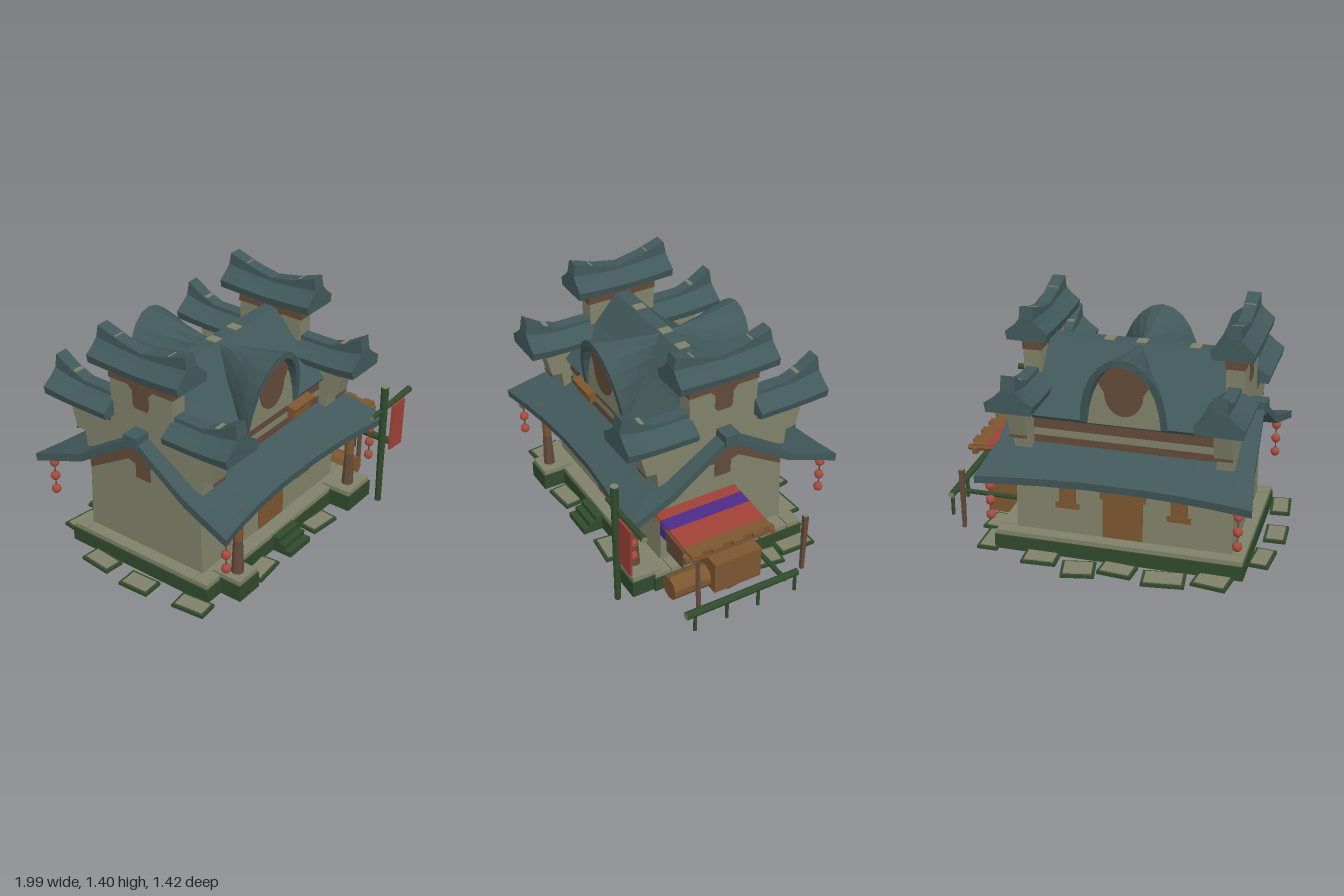
import * as THREE from 'three';

const mat = (name, color, side = THREE.FrontSide) => {
  const m = new THREE.MeshStandardMaterial({ color, side });
  m.name = name;
  return m;
};

export function createModel() {
  const M = {
    roof: mat('slate teal', 0x41585a), plaster: mat('plaster', 0x80826a, THREE.DoubleSide), timber: mat('dark timber', 0x634b39),
    wood: mat('warm wood', 0x7c5630), moss: mat('moss green', 0x314a2c), red: mat('red cloth', 0x9f4136),
    lantern: mat('lantern red', 0xa64b3d), purple: mat('purple cloth', 0x4e2b88),
  };
  const bamboo = [M.moss, M.plaster, M.plaster]; // pale cut ends
  const mossSides = [M.moss, M.moss, M.moss, M.plaster, M.moss, M.moss]; // bare stone below
  const root = new THREE.Group();
  root.name = 'teaHouse';
  const CX = -0.14, CZ = -0.02; // centre of the building

  const group = (name, parent = root) => { const g = new THREE.Group(); g.name = name; parent.add(g); return g; };
  // faceted mesh
  const add = (name, geo, m, parent = root) => {
    const g = geo.index ? geo.toNonIndexed() : geo;
    g.computeVertexNormals();
    const mesh = new THREE.Mesh(g, m);
    mesh.name = name;
    parent.add(mesh);
    return mesh;
  };
  // box from its limits on each axis
  const box = (name, x0, x1, y0, y1, z0, z1, m, parent) => {
    const b = add(name, new THREE.BoxGeometry(x1 - x0, y1 - y0, z1 - z0), m, parent);
    b.position.set((x0 + x1) / 2, (y0 + y1) / 2, (z0 + z1) / 2);
    return b;
  };
  // round rod between two points
  const rod = (name, a, b, r0, r1, m, parent, sides = 8) => {
    const A = new THREE.Vector3(...a), B = new THREE.Vector3(...b), d = B.clone().sub(A);
    const c = add(name, new THREE.CylinderGeometry(r1, r0, d.length(), sides), m, parent);
    c.position.copy(A).add(B).multiplyScalar(0.5);
    c.quaternion.setFromUnitVectors(new THREE.Vector3(0, 1, 0), d.normalize());
    return c;
  };
  // solid through counter-clockwise cross-sections ordered along z; openEdge leaves out one side
  const loft = (sections, openEdge = -1) => {
    const pos = [], tri = (...p) => p.forEach(v => pos.push(...v)), n = sections[0].length;
    for (let s = 0; s + 1 < sections.length; s++) for (let i = 0; i < n; i++) {
      if (i === openEdge) continue;
      const j = (i + 1) % n, a = sections[s], b = sections[s + 1];
      tri(a[i], a[j], b[j]);
      tri(a[i], b[j], b[i]);
    }
    const first = sections[0], last = sections[sections.length - 1];
    const caps = THREE.ShapeUtils.triangulateShape(last.map(p => new THREE.Vector2(p[0], p[1])), []);
    for (const [a, b, c] of caps) { tri(last[a], last[b], last[c]); tri(first[c], first[b], first[a]); }
    const g = new THREE.BufferGeometry();
    g.setAttribute('position', new THREE.Float32BufferAttribute(pos, 3));
    return g;
  };
  // right half of a profile completed by its mirror image
  const mirror = pts => [...pts, ...pts.slice().reverse().filter(p => p[0] !== 0).map(([u, ...r]) => [-u, ...r])];
  // symmetric depth profile [u, y] extruded from x0 to x1
  const slab = (name, half, x0, x1, m, parent, openBelow = false) => {
    const p = mirror(half);
    const g = loft([x0, x1].map(w => p.map(([u, y]) => [u, y, w])), openBelow ? p.length - 1 : -1).rotateY(Math.PI / 2);
    const s = add(name, g, m, parent);
    s.position.z = CZ;
    return s;
  };

  // stone base: a ring around the open floor, with a mossy foot
  const base = group('base');
  const plinth = (x0, x1, z0, z1, top) => {
    box('mossFoot', x0, x1, 0.005, top - 0.027, z0, z1, M.moss, base);
    box('stoneCap', x0 + 0.008, x1 - 0.008, top - 0.027, top, z0 + 0.008, z1 - 0.008, M.plaster, base);
  };
  plinth(-0.84, 0.59, 0.36, 0.47, 0.118);
  plinth(-0.84, 0.59, -0.5, -0.4, 0.118);
  plinth(-0.84, -0.745, -0.41, 0.37, 0.1175);
  plinth(0.465, 0.59, -0.41, 0.37, 0.1175);
  plinth(-0.72, -0.55, 0.4, 0.6, 0.13);
  plinth(0.34, 0.57, 0.4, 0.6, 0.13);
  for (let i = 0; i < 3; i++) box('step', -0.235, -0.045, 0.005, 0.1 - i * 0.03, 0.4, 0.51 + i * 0.04, M.moss, base);

  // stepping stones around the house: x, z, width, depth, turn
  const stones = group('steppingStones');
  [[-0.42, -0.6, 0.24, 0.15, 0.12], [-0.15, -0.57, 0.2, 0.13, -0.1], [0.06, -0.62, 0.19, 0.16, 0.2], [0.3, -0.55, 0.2, 0.14, 0.05],
    [-0.68, -0.55, 0.2, 0.15, -0.15], [0.63, -0.42, 0.12, 0.22, 0], [0.66, -0.21, 0.14, 0.18, -0.12], [0.68, 0.03, 0.16, 0.18, 0.1],
    [-0.9, -0.23, 0.12, 0.2, -0.1], [-0.93, 0.07, 0.13, 0.19, 0.04], [-0.9, 0.42, 0.12, 0.2, 0.1],
    [-0.42, 0.52, 0.2, 0.12, 0.1], [0.14, 0.52, 0.2, 0.12, -0.1],
  ].forEach(([x, z, w, d, turn]) => {
    const s = group('steppingStone', stones);
    box('mossEdge', -w / 2, w / 2, 0, 0.018, -d / 2, d / 2, mossSides, s);
    box('stoneTop', -w / 2 + 0.016, w / 2 - 0.016, 0.018, 0.023, -d / 2 + 0.016, d / 2 - 0.016, M.plaster, s);
    s.position.set(x, 0, z);
    s.rotation.y = turn;
  });

  // ground floor, a hollow shell open below
  const house = group('house');
  slab('walls', [[0.4, 0.03], [0.385, 0.57], [0, 0.82]], -0.76, 0.48, M.plaster, house, true);
  for (const x of [-0.763, 0.483]) {
    slab('gableTimber', [[0.05, 0.565], [0.05, 0.65], [0.1, 0.665], [0.38, 0.5], [0.385, 0.57], [0, 0.82]],
      x - 0.003, x + 0.003, M.timber, house);
  }

  // doors and shutters on both long sides
  for (const side of [1, -1]) {
    const f = group(side > 0 ? 'frontOpenings' : 'backOpenings', house);
    f.position.set(CX, 0, CZ);
    f.rotation.y = side > 0 ? 0 : Math.PI;
    box('door', -0.115, 0.115, 0.12, 0.38, 0.383, 0.402, M.wood, f);
    box('doorLintel', -0.13, 0.13, 0.36, 0.42, 0.383, 0.408, M.wood, f);
    box('doorCrown', -0.11, 0.11, 0.42, 0.45, 0.38, 0.402, M.wood, f);
    for (const x of [-0.32, 0.32]) {
      box('shutter', x - 0.048, x + 0.048, 0.28, 0.45, 0.38, 0.399, M.wood, f);
      for (const y of [0.27, 0.425]) box('shutterRail', x - 0.068, x + 0.068, y, y + 0.035, 0.38, 0.402, M.wood, f);
    }
  }

  // porch posts
  for (const x of [-0.64, 0.44]) {
    rod('porchPost', [x, 0.12, 0.522], [x, 0.34, 0.525], 0.036, 0.027, M.timber, house);
    rod('porchPostTop', [x, 0.34, 0.525], [x, 0.565, 0.522], 0.027, 0.037, M.wood, house);
  }

  // main roof: ends flare and eaves sweep out towards the corners
  const eaves = mirror([[0, 0.825], [0.36, 0.59], [0.665, 0.5], [0.67, 0.545], [0.36, 0.64], [0, 0.87]]);
  const mainRoof = add('mainRoof', loft([-1, -0.75, -0.5, -0.2, 0.2, 0.5, 0.75, 1].map(s => eaves.map(([u, y]) => [
    Math.abs(u) > 0.5 ? u * (1 - 0.12 * (1 - s * s)) : u, y, CX + s * (0.705 + 0.06 * (u / 0.67) ** 2),
  ]))).rotateY(Math.PI / 2), M.roof, house);
  mainRoof.position.z = CZ;
  box('mainRidge', -0.86, 0.58, 0.815, 0.885, CZ - 0.045, CZ + 0.045, M.roof, house);

  // upper floor between the towers
  const upper = group('upperFloor');
  box('upperWalls', -0.67, 0.39, 0.6, 0.83, CZ - 0.35, CZ + 0.35, M.plaster, upper);
  for (const s of [1, -1]) for (const [y0, y1] of [[0.645, 0.685], [0.73, 0.795]]) {
    const z = CZ + s * 0.352;
    box('timberBand', -0.66, 0.38, y0, y1, z - 0.004, z + 0.004, M.timber, upper);
  }
  for (const x of [-0.425, 0.16]) {
    box('flowerBox', x - 0.085, x + 0.085, 0.685, 0.745, 0.32, 0.372, M.wood, upper);
    box('flowerBoxLid', x - 0.1, x + 0.1, 0.745, 0.765, 0.32, 0.392, M.wood, upper).rotation.x = 0.2;
  }
  slab('upperRoof', [[0, 0.83], [0.375, 0.795], [0.388, 0.815], [0.18, 1.0], [0.04, 1.16]], -0.67, 0.39, M.roof, upper);
  for (const x of [-0.45, -0.145, 0.04]) box('ridgeStone', x - 0.03, x + 0.03, 1.13, 1.164, CZ - 0.035, CZ + 0.035, M.plaster, upper);

  // arched dormers, front and back; the crown leans out over the face
  const arch = (z, w, top, lean) => {
    const half = (k, rise) => Array.from({ length: 13 }, (_, i) => {
      const a = i * Math.PI / 12;
      return [w * k * Math.cos(a), 0.815 + rise * Math.sin(a), z + lean * Math.sin(a)];
    });
    return [...half(1, top - 0.815), ...half(0.84, top - 0.85).reverse()];
  };
  for (const s of [1, -1]) {
    const d = group(s > 0 ? 'frontDormer' : 'backDormer', upper);
    d.position.set(CX - 0.005, 0, CZ);
    d.rotation.y = s > 0 ? 0 : Math.PI;
    add('dormerRoof', loft([[0.02, 0.04, 1.155, 0], [0.12, 0.095, 1.165, 0], [0.25, 0.165, 1.18, 0], [0.34, 0.22, 1.2, 0.02], [0.4, 0.245, 1.22, 0.065]]
      .map(p => arch(...p))), M.roof, d);
    const face = new THREE.Shape().absellipse(0, 0.81, 0.208, 0.365, 0, Math.PI, false, 0);
    add('dormerWall', new THREE.ExtrudeGeometry(face, { depth: 0.03, bevelEnabled: false, curveSegments: 12 }), M.plaster, d).position.z = 0.365;
    const panel = new THREE.Shape().absellipse(0, 0.81, 0.2, 0.365, 0.75, Math.PI - 0.75, false, 0)
      .absellipse(0, 1.0, 0.108, 0.13, Math.PI, Math.PI * 2, false, 0);
    add('dormerPanel', new THREE.ExtrudeGeometry(panel, { depth: 0.006, bevelEnabled: false, curveSegments: 10 }), M.timber, d).position.z = 0.395;
  }

  // saddle roof with raised ends: half width, eave height, z range, end lifts
  const saddle = (name, w, y, z0, z1, lift0, lift1, parent) => {
    const half = [[w * 0.92, y, 0.15], [w, y + 0.04, 0.25], [w * 0.56, y + 0.08, 0.28], [0.038, y + 0.105, 0.38], [0.036, y + 0.128, 1]];
    const p = mirror(half);
    add(name, loft([0, 0.25, 0.5, 0.75, 1].map(t => {
      const l = t < 0.5 ? lift0 * (1 - 2 * t) ** 1.5 : lift1 * (2 * t - 1) ** 1.5;
      const z = z0 + (z1 - z0) * t;
      return p.map(([x, py, k]) => [x * (1 + l * 0.7), py + l * k, z - 0.02 * (k - 0.5) * Math.sign(t - 0.5)]);
    })), M.roof, parent);
  };
  // stepped end towers
  for (const x of [-0.71, 0.43]) {
    const t = group('endTower');
    t.position.x = x;
    slab('towerWall', [[0.39, 0.5], [0.415, 0.72], [0.475, 0.725], [0.53, 0.94], [0.21, 0.98], [0.215, 1.22]], -0.05, 0.05, M.plaster, t);
    box('towerTimber', -0.054, 0.054, 1.13, 1.21, CZ - 0.219, CZ + 0.219, M.timber, t);
    for (const s of [-0.052, 0.052]) slab('towerPost', [[0.04, 1.0], [0.055, 1.02], [0.055, 1.1], [0.09, 1.135], [0, 1.135]], s - 0.002, s + 0.002, M.timber, t);
    for (const s of [1, -1]) {
      const a = CZ + s * 0.22, b = CZ + s * 0.5, j = CZ + s * 0.476;
      box('eaveTimber', -0.053, 0.053, 0.855, 0.93, Math.min(a, b), Math.max(a, b), M.timber, t);
      box('jettyBeam', -0.05, 0.05, 0.712, 0.728, j - 0.004, j + 0.004, M.timber, t);
    }
    saddle('topRoof', 0.115, 1.2, CZ - 0.3, CZ + 0.3, 0.075, 0.075, t);
    saddle('frontLowRoof', 0.128, 0.9, 0.18, 0.6, 0, 0.1, t);
    saddle('backLowRoof', 0.128, 0.9, -0.64, -0.22, 0.1, 0, t);
    for (const [y, z] of [[1.354, 0.18], [1.354, -0.22], [1.046, 0.48], [1.046, -0.52]])
      box('ridgeStone', -0.03, 0.03, y - 0.03, y + 0.015, z - 0.025, z + 0.025, M.plaster, t);
  }

  // lantern strings at the roof corners
  for (const x of [-0.825, 0.555]) for (const z of [0.588, -0.63]) {
    const l = group('lanternString');
    rod('cord', [x, 0.28, z], [x, 0.53, z], 0.004, 0.004, M.timber, l, 5);
    for (const y of [0.47, 0.38, 0.292]) add('lantern', new THREE.SphereGeometry(0.028, 8, 6), M.lantern, l).position.set(x, y, z);
  }

  // banner on a bamboo pole
  const banner = group('banner');
  rod('bannerPole', [0.54, 0.015, 0.68], [0.54, 0.79, 0.68], 0.019, 0.024, bamboo, banner);
  rod('bannerBar', [0.43, 0.63, 0.67], [0.84, 0.64, 0.67], 0.013, 0.02, bamboo, banner);
  const cloth = new THREE.Shape([[0.615, 0.63], [0.605, 0.34], [0.735, 0.33], [0.745, 0.63]].map(p => new THREE.Vector2(...p)));
  add('bannerCloth', new THREE.ExtrudeGeometry(cloth, { depth: 0.012, bevelEnabled: false }), M.red, banner).position.z = 0.688;

  // market stall beside the left gable
  const stall = group('stall');
  const strip = (name, x0, y0, x1, y1, m) => {
    const p = [[x0, y0 - 0.01], [x1, y1 - 0.01], [x1, y1], [x0, y0]];
    add(name, loft([-0.1, 0.41].map(z => p.map(([x, y]) => [x, y, z]))), m, stall);
  };
  strip('innerAwning', 0.48, 0.462, 0.55, 0.458, M.red);
  strip('purpleAwning', 0.55, 0.458, 0.64, 0.452, M.purple);
  strip('redAwning', 0.64, 0.452, 0.79, 0.44, M.red);
  strip('awningLining', 0.48, 0.45, 0.86, 0.422, M.timber);
  box('purpleFlap', 0.55, 0.61, 0.36, 0.45, 0.41, 0.416, M.purple, stall);
  for (let i = 0; i < 8; i++) {
    const z = -0.1 + i * 0.064;
    box('awningPlank', 0.785, 0.865 + (i % 2) * 0.02, 0.42, 0.44, z, z + 0.064, M.wood, stall);
  }
  box('frontBeam', 0.83, 0.86, 0.385, 0.425, -0.12, 0.44, M.wood, stall);
  for (const z of [-0.09, 0.4]) {
    rod('sideBeam', [0.48, 0.44, z], [0.89, 0.415, z], 0.018, 0.018, M.wood, stall, 6);
    box('sideBoard', 0.6, 0.77, 0.28, 0.41, z - 0.004, z + 0.004, M.timber, stall);
  }
  rod('stallPost', [0.845, 0.015, 0.345], [0.84, 0.42, 0.355], 0.017, 0.013, M.timber, stall, 6);
  rod('loosePost', [0.84, 0.015, -0.335], [0.84, 0.39, -0.34], 0.014, 0.02, [M.timber, M.plaster, M.plaster], stall, 4).rotateY(Math.PI / 4);
  box('counter', 0.5, 0.775, 0.015, 0.195, -0.1, 0.2, M.wood, stall);
  box('counterTop', 0.49, 0.78, 0.195, 0.215, -0.1, 0.2, M.wood, stall);
  rod('barrel', [0.67, 0.075, 0.2], [0.67, 0.075, 0.43], 0.07, 0.07, M.wood, stall, 10);

  // bamboo fence
  const fence = group('fence');
  rod('longRail', [0.97, 0.14, -0.21], [0.97, 0.14, 0.5], 0.02, 0.023, bamboo, fence);
  rod('shortRail', [0.58, 0.135, -0.12], [0.985, 0.135, -0.12], 0.015, 0.015, M.moss, fence);
  for (const z of [-0.2, 0.04, 0.24, 0.44]) rod('fencePost', [0.965, 0.01, z], [0.965, 0.14, z], 0.011, 0.011, M.moss, fence, 6);

  return root;
}
